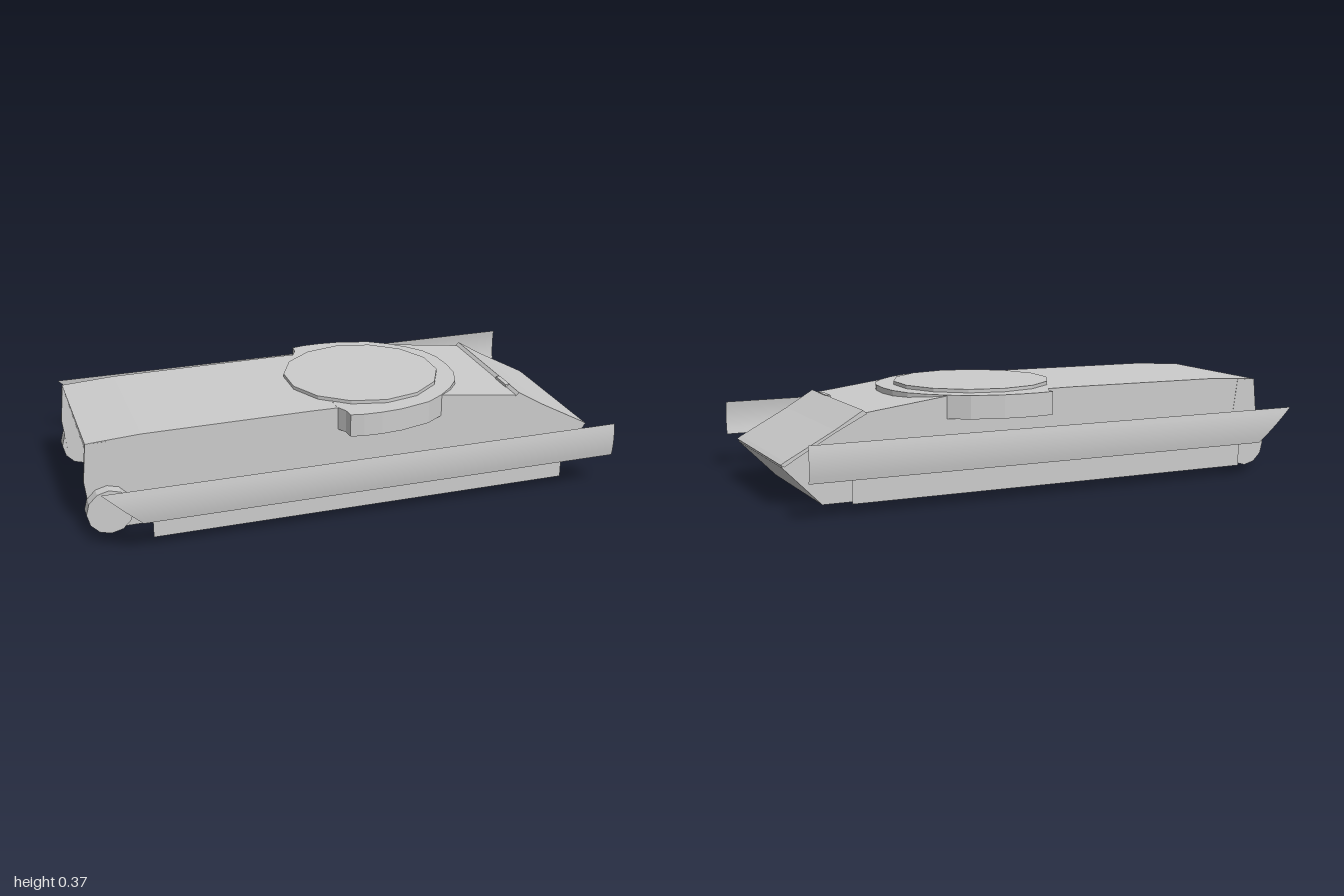
import * as THREE from 'three';

const grey = new THREE.MeshStandardMaterial({ color: 0xcccccc, flatShading: true });
const thin = new THREE.MeshStandardMaterial({ color: 0xcccccc, side: THREE.DoubleSide });

const shapeOf = pts => new THREE.Shape(pts.map(([x, y]) => new THREE.Vector2(x, y)));

// Side profile (x, y) extruded across z, between z0 and z1
function slab(pts, z0, z1) {
  const geo = new THREE.ExtrudeGeometry(shapeOf(pts), { depth: z1 - z0, bevelEnabled: false });
  return geo.translate(0, 0, z0);
}

export function createModel() {
  const model = new THREE.Group();
  const add = (name, geo, mat = grey, parent = model) => {
    const mesh = new THREE.Mesh(geo, mat);
    mesh.name = name;
    parent.add(mesh);
    return mesh;
  };

  // Hull with undercut tail and sloped nose
  add('hull', slab([
    [-0.9, 0.003], [0.85, 0.003], [0.99, 0.145], [0.995, 0.158], [0.8, 0.262], [0.69, 0.318],
    [0.37, 0.359], [-0.15, 0.362], [-0.78, 0.358], [-0.98, 0.346],
  ], -0.29, 0.29));

  // Sloped bow plate with a small lip at its upper edge
  add('bowPlate', slab([
    [0.68, 0.316], [0.8, 0.255], [0.985, 0.15], [0.998, 0.158], [0.982, 0.168],
    [0.8, 0.266], [0.695, 0.329],
  ], -0.296, 0.292));
  add('bowLatch', new THREE.BoxGeometry(0.018, 0.02, 0.09).translate(0.688, 0.32, 0.158));

  // Platform under the turret ring, bulging past both hull sides
  const half = [[0.505, 0.09], [0.478, 0.17], [0.43, 0.235], [0.37, 0.292], [0.3, 0.34],
    [0.18, 0.373], [0.1, 0.38], [0.03, 0.378], [-0.02, 0.368], [-0.024, 0.325], [-0.045, 0.285]];
  const outline = [[0.512, 0], ...half, ...half.slice().reverse().map(([x, z]) => [x, -z])];
  const platform = new THREE.ExtrudeGeometry(shapeOf(outline), { depth: 0.087, bevelEnabled: false });
  add('turretPlatform', platform.rotateX(-Math.PI / 2).translate(0, 0.275, 0));

  // Turret ring
  add('turretRing', new THREE.CylinderGeometry(0.302, 0.302, 0.016, 14).translate(0.147, 0.367, 0));

  for (const s of [1, -1]) {
    const side = new THREE.Group();
    side.name = s > 0 ? 'leftSide' : 'rightSide';
    model.add(side);

    // Hull side extending behind the undercut tail
    const a = s * 0.28, b = s * 0.291;
    add('tailFin', slab([[-0.9, 0.003], [-0.85, 0.003], [-0.9, 0.346], [-0.98, 0.346], [-0.994, 0.2], [-0.98, 0.08]],
      Math.min(a, b), Math.max(a, b)), grey, side);

    // Rear wheel hub
    add('rearHub', new THREE.CylinderGeometry(0.085, 0.085, 0.05, 12)
      .rotateX(Math.PI / 2).translate(-0.913, 0.09, s * 0.31), grey, side);

    // Bowed outer skirt, cut away at the lower rear corner
    const skirt = new THREE.PlaneGeometry(1, 1, 1, 6);
    const p = skirt.attributes.position;
    for (let i = 0; i < p.count; i++) {
      const v = p.getY(i) + 0.5;
      const x = p.getX(i) > 0 ? 0.975 : -0.83 - 0.14 * v;
      p.setXYZ(i, x, 0.135 + 0.13 * v, s * (0.549 - 0.025 * (v - 0.55) ** 2));
    }
    skirt.computeVertexNormals();
    add('outerSkirt', skirt, thin, side);

    // Flat lower plate with notched upper corners
    const plate = new THREE.ShapeGeometry(shapeOf([
      [-0.785, 0.037], [0.8, 0.037], [0.8, 0.125], [0.765, 0.125], [0.765, 0.135],
      [-0.755, 0.135], [-0.755, 0.125], [-0.785, 0.125],
    ]));
    add('lowerPlate', plate.translate(0, 0, s * 0.469), thin, side);
  }
  return model;
}
